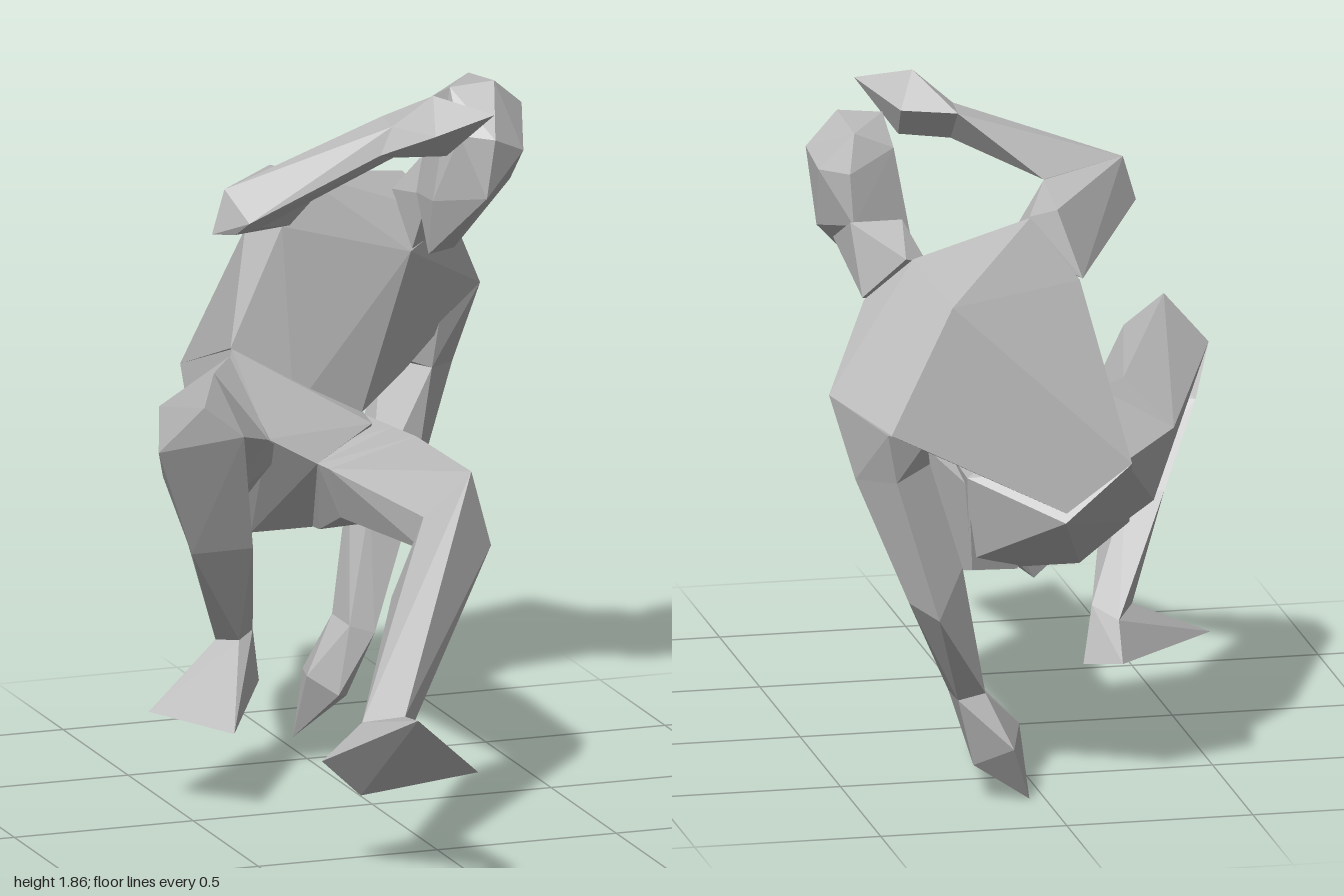
import * as THREE from 'three';
import { ConvexGeometry } from 'three/addons/geometries/ConvexGeometry.js';
import { mergeGeometries } from 'three/addons/utils/BufferGeometryUtils.js';

// faceted solid around a set of corner points
const hull = (...points) => new ConvexGeometry(points.map((p) => new THREE.Vector3(...p)));

// faceted limb: a solid between each pair of neighbouring cross-sections
const limb = (...rings) =>
  mergeGeometries(rings.slice(1).map((ring, i) => hull(...rings[i], ...ring)));

export function createModel() {
  const model = new THREE.Group();
  const clay = new THREE.MeshStandardMaterial({ color: 0xbcbcbc });
  clay.flatShading = true;
  clay.name = 'grey clay';
  const add = (name, geometry) => {
    const mesh = new THREE.Mesh(geometry, clay);
    mesh.name = name;
    model.add(mesh);
  };

  // leaning trunk: waist, then shoulders
  add('torso', hull(
    [-0.18, 0.97, -0.98], [0, 0.85, -1], [-0.17, 1.1, -0.62], [0, 0.92, -0.6], [0.2, 0.89, -0.63], [0.34, 0.97, -0.7],
    [0.47, 1.09, -1], [0.6, 1.16, -0.82], [0.3, 1.42, -0.97], [0.48, 1.38, -0.7], [0.36, 1.5, -0.76],
    [0.33, 1.32, -0.61], [0.02, 1.56, -0.64], [-0.03, 1.42, -0.61], [-0.1, 1.4, -0.7]));
  add('pelvis', hull(
    [-0.18, 0.97, -0.98], [0, 0.82, -0.99], [-0.21, 0.87, -0.78], [-0.25, 0.71, -0.62], [-0.12, 0.6, -0.6],
    [0, 0.82, -0.42], [0.2, 0.88, -0.55], [0.2, 0.66, -0.72], [0.05, 0.6, -0.6], [0.22, 0.9, -0.78],
    [-0.17, 1.1, -0.61], [-0.14, 0.9, -0.42]));

  // head bowed forward
  add('neck', hull(
    [0.34, 1.5, -0.5], [0.52, 1.5, -0.5], [0.5, 1.57, -0.62], [0.36, 1.57, -0.62],
    [0.31, 1.47, -0.7], [0.48, 1.38, -0.68], [0.33, 1.33, -0.6], [0.38, 1.5, -0.76]));
  add('head', hull(
    [0.37, 1.81, -0.42], [0.49, 1.82, -0.41], [0.48, 1.8, -0.58], [0.37, 1.75, -0.56], [0.585, 1.74, -0.46],
    [0.57, 1.7, -0.55], [0.365, 1.7, -0.33], [0.45, 1.69, -0.29], [0.55, 1.64, -0.35], [0.315, 1.51, -0.4],
    [0.43, 1.53, -0.3], [0.325, 1.35, -0.46], [0.4, 1.36, -0.47], [0.56, 1.53, -0.48], [0.49, 1.56, -0.62],
    [0.5, 1.7, -0.62], [0.32, 1.5, -0.54]));

  // right arm, raised and folded across the brow
  const rightElbow = [[-0.3, 1.62, -0.31], [-0.335, 1.5, -0.31], [-0.29, 1.51, -0.25], [-0.27, 1.55, -0.2], [-0.2, 1.51, -0.3]];
  const rightWrist = [[0.15, 1.77, -0.34], [0.1, 1.7, -0.21], [0.15, 1.68, -0.25], [0.14, 1.77, -0.23]];
  add('rightUpperArm', limb(
    [[0.02, 1.56, -0.63], [-0.05, 1.58, -0.65], [-0.11, 1.4, -0.69], [-0.02, 1.43, -0.58], [0.07, 1.5, -0.61]],
    [...rightElbow, [-0.07, 1.59, -0.39]]));
  add('rightForearm', limb([...rightElbow, [-0.07, 1.59, -0.385]], rightWrist));
  add('rightHand', hull(...rightWrist,
    [0.24, 1.855, -0.19], [0.375, 1.815, -0.09], [0.21, 1.77, -0.09], [0.28, 1.685, -0.2], [0.29, 1.77, -0.28]));

  // left arm, hanging to the ground
  const leftElbow = [[0.385, 0.6, -0.75], [0.4, 0.6, -0.89], [0.33, 0.56, -0.945], [0.25, 0.68, -0.86], [0.26, 0.62, -0.73]];
  const leftWrist = [[0.24, 0.285, -0.64], [0.24, 0.29, -0.76], [0.17, 0.31, -0.775], [0.17, 0.31, -0.64]];
  add('leftUpperArm', limb(
    [[0.6, 1.16, -0.82], [0.48, 1.09, -1], [0.34, 1.0, -0.74], [0.36, 1.05, -0.93], [0.46, 1.08, -0.75]],
    [[0.54, 0.94, -0.87], [0.45, 0.95, -0.97], [0.34, 0.97, -0.87], [0.44, 0.96, -0.75]], leftElbow));
  add('leftForearm', limb(leftElbow, leftWrist));
  add('leftHand', hull(...leftWrist,
    [0.19, 0.1, -0.72], [0.05, 0.185, -0.64], [0.13, 0.13, -0.615], [0.1, 0.16, -0.81], [0.04, 0, -0.72]));

  // right leg, knee raised
  const rightKnee = [[-0.6, 1.01, 0.01], [-0.49, 1.135, 0.06], [-0.385, 1.05, 0.075], [-0.47, 0.93, -0.05]];
  const rightAnkle = [[-0.325, 0.4, -0.31], [-0.27, 0.4, -0.28], [-0.21, 0.41, -0.34], [-0.27, 0.38, -0.4]];
  add('rightThigh', limb(rightKnee,
    [[-0.26, 1.07, -0.5], [-0.37, 0.96, -0.62], [-0.32, 0.76, -0.6], [-0.23, 0.71, -0.5], [-0.14, 0.9, -0.41]],
    [[-0.17, 1.08, -0.62], [-0.19, 0.94, -0.85], [-0.15, 0.65, -0.62], [-0.08, 0.85, -0.45]]));
  add('rightShin', limb(
    [[-0.6, 1.01, 0.01], [-0.385, 1.05, 0.075], [-0.4, 0.92, -0.1], [-0.53, 0.9, -0.15]],
    [[-0.46, 0.69, -0.12], [-0.3, 0.7, -0.09], [-0.32, 0.69, -0.25], [-0.42, 0.69, -0.27]], rightAnkle));
  add('rightFoot', hull(...rightAnkle,
    [-0.57, 0.265, -0.15], [-0.385, 0.225, 0], [-0.18, 0.26, -0.375], [-0.27, 0.275, -0.45]));

  // left leg, stretched forward, with the calf bulging below the knee
  const leftKnee = [[0.23, 0.915, 0.13], [0.285, 0.71, 0.13], [0.1, 0.71, 0.12], [0.1, 0.8, 0.12]];
  const leftAnkle = [[-0.155, 0.42, 0.68], [-0.255, 0.4, 0.625], [-0.19, 0.36, 0.59], [-0.11, 0.37, 0.61]];
  add('leftThigh', limb(
    [[0.21, 0.87, -0.76], [0.2, 0.64, -0.75], [0.05, 0.6, -0.62], [0, 0.83, -0.5]],
    [[0.24, 0.88, -0.5], [0.22, 0.6, -0.59], [0.06, 0.6, -0.57], [0, 0.82, -0.42]],
    [[0.25, 0.89, -0.35], [0.25, 0.67, -0.37], [0.05, 0.68, -0.38], [0.01, 0.82, -0.36]], leftKnee));
  add('leftShin', limb([...leftKnee, [0, 0.6, 0.15]], leftAnkle));
  add('leftFoot', hull(...leftAnkle,
    [-0.235, 0.495, 1], [-0.06, 0.335, 0.98], [-0.375, 0.31, 0.645], [-0.27, 0.21, 0.655]));

  return model;
}
